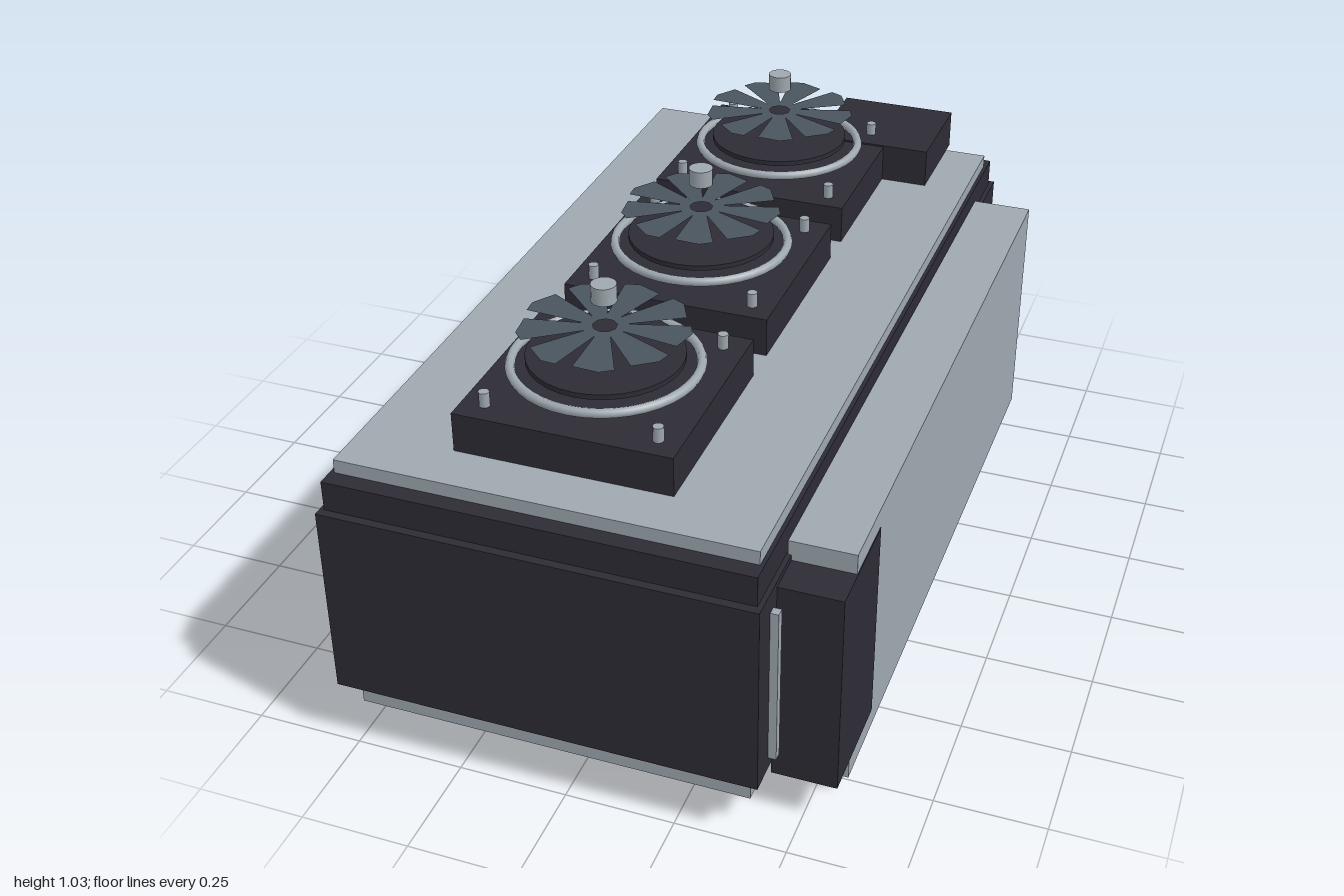
import * as THREE from 'three';

const mat = (name, color, side = THREE.FrontSide) => {
  const m = new THREE.MeshStandardMaterial({ color, side });
  m.name = name;
  return m;
};

export function createModel() {
  const dark = mat('charcoal', 0x2d2c36);
  const light = mat('light steel', 0x9ea8af);
  const gold = mat('brass', 0xc9a968);
  const slate = mat('slate', 0x4a555e, THREE.DoubleSide);
  const model = new THREE.Group();
  model.name = 'cooledUnit';

  const add = (parent, name, geometry, material, x = 0, y = 0, z = 0) => {
    const mesh = new THREE.Mesh(geometry, material);
    mesh.name = name;
    mesh.position.set(x, y, z);
    parent.add(mesh);
    return mesh;
  };
  // Box given by its limits on each axis
  const box = (name, material, x0, x1, y0, y1, z0, z1) =>
    add(model, name, new THREE.BoxGeometry(x1 - x0, y1 - y0, z1 - z0), material,
      (x0 + x1) / 2, (y0 + y1) / 2, (z0 + z1) / 2);

  // Housing and stacked plates
  box('body', dark, -0.537, 0.435, 0.155, 0.613, -1, 1);
  box('upperBody', dark, -0.527, 0.424, 0.613, 0.683, -0.98, 0.98);
  box('topPlate', light, -0.517, 0.415, 0.683, 0.715, -0.94, 0.94);
  box('basePlate', light, -0.508, 0.403, 0.075, 0.132, -0.95, 0.95);
  box('contactPlate', dark, -0.365, 0.265, 0.035, 0.075, -0.678, 0.678);
  box('powerBox', dark, 0.014, 0.309, 0.715, 0.811, -0.975, -0.71);

  // Side panel and its connector block
  box('sidePanel', light, 0.427, 0.573, 0.055, 0.647, -0.8, 0.8);
  box('connectorBlock', dark, 0.429, 0.575, 0.107, 0.6, 0.633, 0.893);

  // Heat pipes between body and base plate
  for (const x of [-0.38, -0.052, 0.277]) {
    const pipe = add(model, 'heatPipe', new THREE.CylinderGeometry(0.04, 0.04, 1.6, 12), gold, x, 0.124, 0);
    pipe.rotation.x = Math.PI / 2;
  }

  // Cooling fins along both sides
  for (let i = 0; i < 28; i++) {
    const z = -0.923 + i * 0.0684;
    box('leftFin', light, 0.43, 0.453, 0.185, 0.565, z - 0.01, z + 0.01);
    box('rightFin', light, -0.556, -0.53, 0.185, 0.565, z - 0.01, z + 0.01);
  }

  // Row of contact pins underneath
  for (let i = 0; i < 22; i++) {
    const x = -0.561 + i * 0.0477;
    box('contactPin', gold, x - 0.014, x + 0.014, 0, 0.02, -0.164, 0.098);
  }

  // Fans: square frame, posts, guard ring, disc, flat blades, hub
  const bladeShape = new THREE.Shape([
    [0.025, -0.012], [0.165, -0.055], [0.187, 0.0], [0.178, 0.032], [0.025, 0.012],
  ].map(([x, y]) => new THREE.Vector2(x, y)));
  const bladeGeometry = new THREE.ShapeGeometry(bladeShape).rotateX(-Math.PI / 2);

  for (const z of [-0.58, 0, 0.58]) {
    const fan = new THREE.Group();
    fan.name = 'fan';
    fan.position.set(-0.052, 0, z);
    model.add(fan);
    add(fan, 'fanFrame', new THREE.BoxGeometry(0.49, 0.092, 0.49), dark, 0, 0.761, 0);
    for (const px of [-0.193, 0.193]) for (const pz of [-0.193, 0.193])
      add(fan, 'fanPost', new THREE.CylinderGeometry(0.012, 0.012, 0.034, 10), light, px, 0.824, pz);
    const ring = add(fan, 'guardRing', new THREE.TorusGeometry(0.203, 0.011, 8, 40), light, 0, 0.843, 0);
    ring.rotation.x = Math.PI / 2;
    add(fan, 'fanDisc', new THREE.CylinderGeometry(0.171, 0.171, 0.012, 32), dark, 0, 0.86, 0);
    for (let i = 0; i < 9; i++) {
      const blade = add(fan, 'fanBlade', bladeGeometry, slate, 0, 0.93, 0);
      blade.rotation.y = i * Math.PI * 2 / 9 + 0.15;
    }
    add(fan, 'fanHub', new THREE.CylinderGeometry(0.028, 0.028, 0.04, 16), light, 0, 1.01, 0);
  }
  return model;
}
